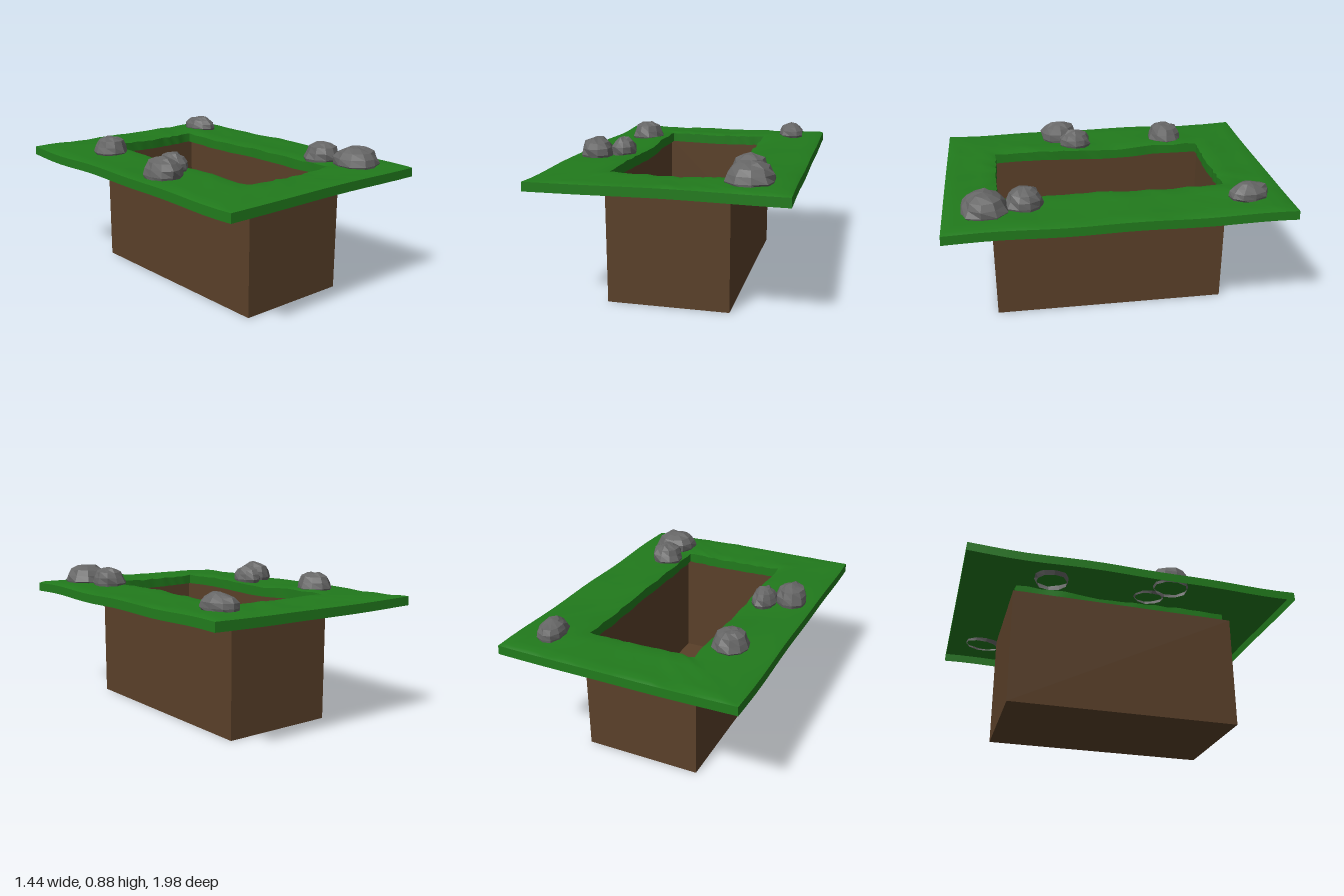
import * as THREE from 'three';
import { toCreasedNormals } from 'three/addons/utils/BufferGeometryUtils.js';

const material = (color, extra = {}) =>
  new THREE.MeshStandardMaterial({ color, side: THREE.DoubleSide, ...extra });

// Repeatable noise from a position, in -1..1
function noise(x, y, z) {
  const s = Math.sin(x * 127.1 + y * 311.7 + z * 74.7) * 43758.5453;
  return (s - Math.floor(s)) * 2 - 1;
}

// Open-topped earth pit
function createPit() {
  const geometry = new THREE.BoxGeometry(0.715, 0.715, 1.4);
  const index = Array.from(geometry.index.array);
  index.splice(12, 6); // leave out the top face
  geometry.setIndex(index);
  geometry.clearGroups();
  const pit = new THREE.Mesh(geometry, material(0x5a4029));
  pit.position.set(0.0075, 0.3575, 0.02);
  pit.name = 'earthPit';
  return pit;
}

// Gentle height waves of the turf
const wave = (x, z) =>
  0.005 * Math.sin(x * 7 + 1) * Math.cos(z * 5) + 0.004 * Math.sin(z * 8 + x * 3);

// Wavy turf frame: a hollow sheet with a lip around the hole and a skirt outside
function createGrass() {
  const inner = [[-0.33, -0.66], [0.33, -0.66], [0.33, 0.68], [-0.33, 0.68]];
  const outer = [[-0.72, -0.995], [0.72, -0.995], [0.72, 0.985], [-0.72, 0.985]];
  // [distance from hole to rim, height]
  const profile = [[0, 0.70], [0, 0.76], [0.12, 0.768], [0.3, 0.765], [0.5, 0.762],
    [0.75, 0.76], [0.94, 0.76], [1, 0.753], [1.005, 0.70]];
  const steps = 18, count = steps * 4, rows = profile.length;
  const positions = [], index = [];
  for (let i = 0; i < count; i++) {
    const side = Math.floor(i / steps), next = (side + 1) % 4, f = (i % steps) / steps;
    const along = (c, k) => THREE.MathUtils.lerp(c[side][k], c[next][k], f);
    profile.forEach(([t, h], j) => {
      const ragged = f === 0 ? 0 : 0.007 * noise(i, 1, 0) * (1 - t);
      const x = THREE.MathUtils.lerp(along(inner, 0), along(outer, 0), t) + (side % 2 ? ragged : 0);
      const z = THREE.MathUtils.lerp(along(inner, 1), along(outer, 1), t) + (side % 2 ? 0 : ragged);
      const bump = j > 0 && j < rows - 2 ? 0.004 * noise(i, j, 3) : 0;
      positions.push(x, h + wave(x, z) + bump, z);
      if (j < rows - 1) {
        const a = i * rows + j, b = ((i + 1) % count) * rows + j;
        index.push(a, b, a + 1, b, b + 1, a + 1);
      }
    });
  }
  const geometry = new THREE.BufferGeometry();
  geometry.setAttribute('position', new THREE.Float32BufferAttribute(positions, 3));
  geometry.setIndex(index);
  const grass = new THREE.Mesh(toCreasedNormals(geometry, 0.9), material(0x217a1c));
  grass.name = 'grassFrame';
  return grass;
}

// Faceted boulder, open underneath where it sinks into the turf
function createRock([x, z, rx, rz, top, turn], i) {
  const geometry = new THREE.SphereGeometry(1, 10, 5, 0, Math.PI * 2, 0, Math.PI * 0.66);
  const p = geometry.attributes.position;
  for (let k = 0; k < p.count; k++) {
    const [a, b, c] = [p.getX(k), p.getY(k), p.getZ(k)].map((v) => Math.round(v * 100) / 100 + 0);
    const s = 0.98 + 0.08 * noise(a + i, b, c);
    p.setXYZ(k, a * s, b * (b > 0 ? s : 1), c * s);
  }
  geometry.computeVertexNormals();
  const rock = new THREE.Mesh(geometry, material(0x666666, { flatShading: true }));
  rock.scale.set(rx, top - 0.785, rz);
  rock.position.set(x, 0.785, z);
  rock.rotation.y = turn;
  rock.name = 'rock' + (i + 1);
  return rock;
}

export function createModel() {
  const model = new THREE.Group();
  model.name = 'grassyPit';
  model.add(createPit(), createGrass());

  // x, z, half width, half depth, top height, turn
  const rocks = [
    [0.51, -0.76, 0.085, 0.13, 0.857, 0.25],
    [-0.46, -0.47, 0.106, 0.113, 0.877, 0],
    [-0.57, 0.24, 0.1, 0.127, 0.88, 0.1],
    [-0.43, 0.145, 0.077, 0.103, 0.87, 0],
    [0.435, 0.525, 0.106, 0.112, 0.877, 0.3],
    [0.475, 0.75, 0.142, 0.143, 0.88, 0.5],
  ];
  const group = new THREE.Group();
  group.name = 'rocks';
  group.add(...rocks.map(createRock));
  model.add(group);
  return model;
}
